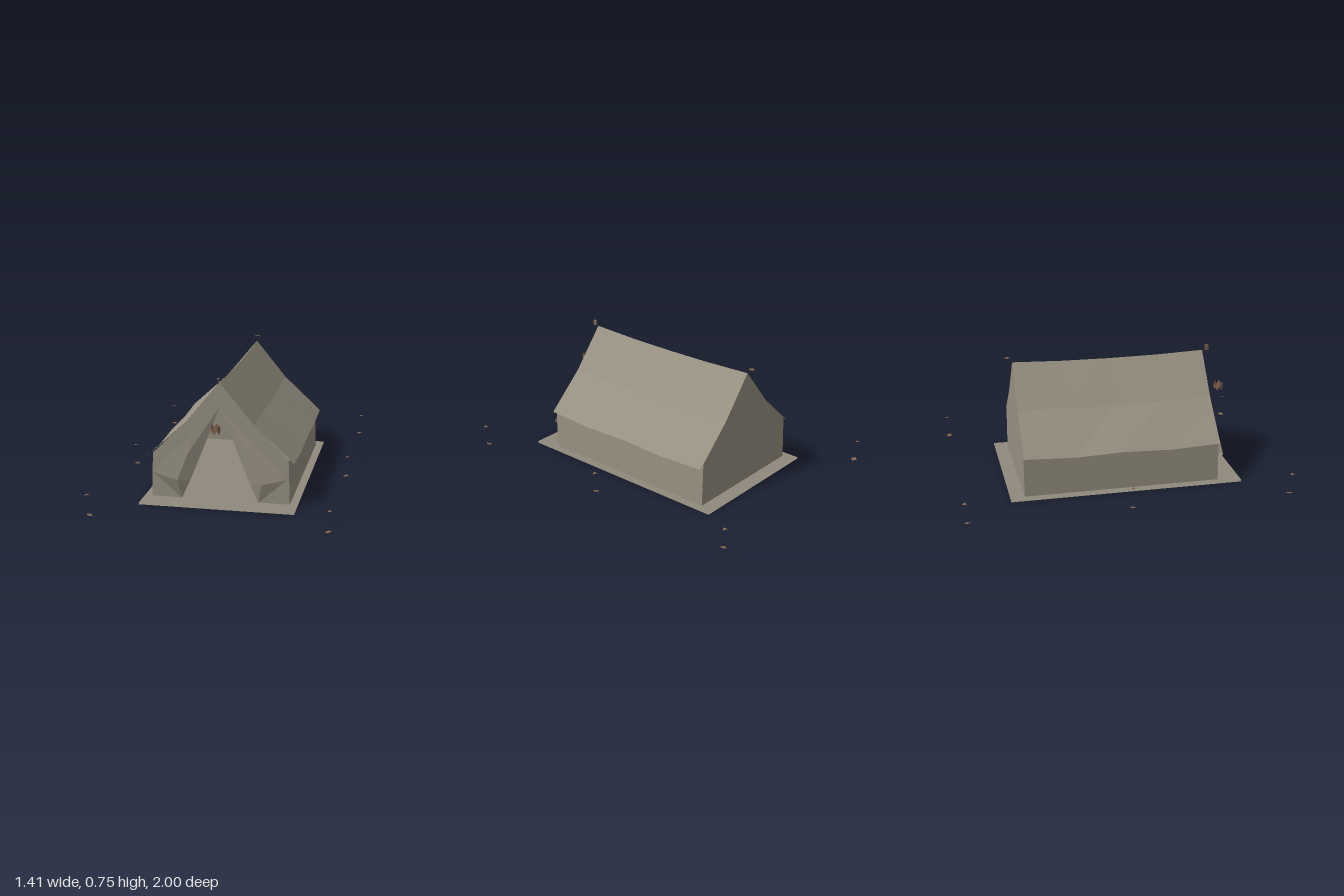
import * as THREE from 'three';

const mat = (name, color) => {
  const m = new THREE.MeshStandardMaterial({ color, side: THREE.DoubleSide });
  m.name = name;
  return m;
};

// Faceted sheet from rows of points; s = -1 mirrors it across x
function sheet(rows, s = 1) {
  const out = [];
  const v = (p) => new THREE.Vector3(p[0] * s, p[1], p[2]);
  const tri = (a, b, c) => {
    const t = s > 0 ? [v(a), v(b), v(c)] : [v(a), v(c), v(b)];
    const area = t[1].clone().sub(t[0]).cross(t[2].clone().sub(t[0])).length();
    if (area > 1e-6) t.forEach((q) => out.push(q.x, q.y, q.z));
  };
  for (let i = 0; i < rows.length - 1; i++) {
    for (let j = 0; j < rows[i].length - 1; j++) {
      const a = rows[i][j], b = rows[i + 1][j], c = rows[i + 1][j + 1], d = rows[i][j + 1];
      tri(a, b, c);
      tri(a, c, d);
    }
  }
  const g = new THREE.BufferGeometry();
  g.setAttribute('position', new THREE.Float32BufferAttribute(out, 3));
  g.computeVertexNormals();
  return g;
}

export function createModel() {
  const root = new THREE.Group();
  root.name = 'tent';
  const canvas = mat('canvas', 0x979081);
  const ground = mat('groundCloth', 0x908a7d);
  const wood = mat('wood', 0x80634e);

  const add = (name, geo, material, x = 0, y = 0, z = 0) => {
    const m = new THREE.Mesh(geo, material);
    m.name = name;
    m.position.set(x, y, z);
    root.add(m);
    return m;
  };

  // Ground sheet: upper and lower faces
  for (const [name, y, dir] of [['groundSheetTop', 0.01, -1], ['groundSheetBottom', 0.002, 1]]) {
    add(name, new THREE.PlaneGeometry(0.92, 1.435).rotateX(dir * Math.PI / 2), ground, 0, y, 0.0275);
  }

  // Sagging roof, side walls and folded door flaps, mirrored left and right
  const zs = [0.605, 0.3, 0, -0.3, -0.605];
  const ridgeY = [0.724, 0.713, 0.71, 0.713, 0.724];
  const midY = [0.48, 0.474, 0.468, 0.474, 0.48];
  const eaveY = [0.26, 0.246, 0.256, 0.246, 0.26];
  const A = [0, 0.58, 0.607], C = [0.23, 0.012, 0.61];
  for (const s of [1, -1]) {
    const side = s > 0 ? 'left' : 'right';
    add(side + 'Roof', sheet([
      zs.map((z, i) => [0, ridgeY[i], z]),
      zs.map((z, i) => [0.2, midY[i], z]),
      zs.map((z, i) => [0.438, eaveY[i], z]),
    ], s), canvas);
    add(side + 'Wall', sheet([
      zs.map((z) => [0.405, 0.272, z * 0.998]),
      zs.map((z) => [0.415, 0.01, z * 0.998]),
    ], s), canvas);
    add(side + 'DoorFlap', sheet([
      [A, [0.16, 0.415, 0.626], [0.4, 0.17, 0.638], C],
      [A, [0.19, 0.29, 0.634], [0.25, 0.13, 0.641], C],
      [A, [0.14, 0.22, 0.608], [0.18, 0.12, 0.612], C],
    ], s), canvas);
  }

  // Gable ends; the front one has the door cut out
  const half = [[0.415, 0.01], [0.405, 0.28], [0.2, 0.478], [0, 0.722]];
  const mirrored = [[-0.2, 0.478], [-0.405, 0.28], [-0.415, 0.01]];
  const door = [[-0.23, 0.01], [-0.14, 0.22], [0, 0.58], [0.14, 0.22], [0.23, 0.01]];
  const shape = (pts) => new THREE.ShapeGeometry(new THREE.Shape(pts.map((p) => new THREE.Vector2(...p))));
  add('frontGable', shape([...half, ...mirrored, ...door]), canvas, 0, 0, 0.604);
  add('backGable', shape([...half, ...mirrored]).rotateY(Math.PI), canvas, 0, 0, -0.604);

  // Pole tips at the ridge ends
  const diamond = (r, n = 4) => new THREE.CircleGeometry(r, n).rotateX(-Math.PI / 2);
  add('backPoleTip', diamond(0.02), wood, 0, 0.755, -0.635);
  add('frontPoleTip', diamond(0.018, 3), wood, 0, 0.755, 0.633);
  add('frontPoleSide', new THREE.PlaneGeometry(0.027, 0.034).rotateY(Math.PI / 2), wood, 0, 0.738, 0.633);

  // Hanging lantern: six diamond panes around a hexagon
  const lantern = new THREE.Group();
  lantern.name = 'lantern';
  lantern.position.set(0, 0.478, 0.72);
  for (let i = 0; i < 6; i++) {
    const pane = new THREE.Mesh(
      new THREE.CircleGeometry(0.03, 4).scale(0.5, 1, 1).translate(0, 0, 0.026), wood);
    pane.name = 'lanternPane';
    pane.rotation.y = i * Math.PI / 3;
    lantern.add(pane);
  }
  root.add(lantern);

  // Tent pegs: head and foot pieces, three per side
  for (const s of [1, -1]) {
    for (const k of [-1, 0, 1]) {
      const head = add('pegHead', diamond(0.018, 3), wood, s * 0.69, 0.13, k * 0.982);
      head.rotation.z = s * -0.1;
      const foot = add('pegFoot', diamond(0.021), wood, s * 0.682, 0.005, k * 0.972);
      foot.rotation.z = s * 0.2;
    }
  }
  return root;
}
